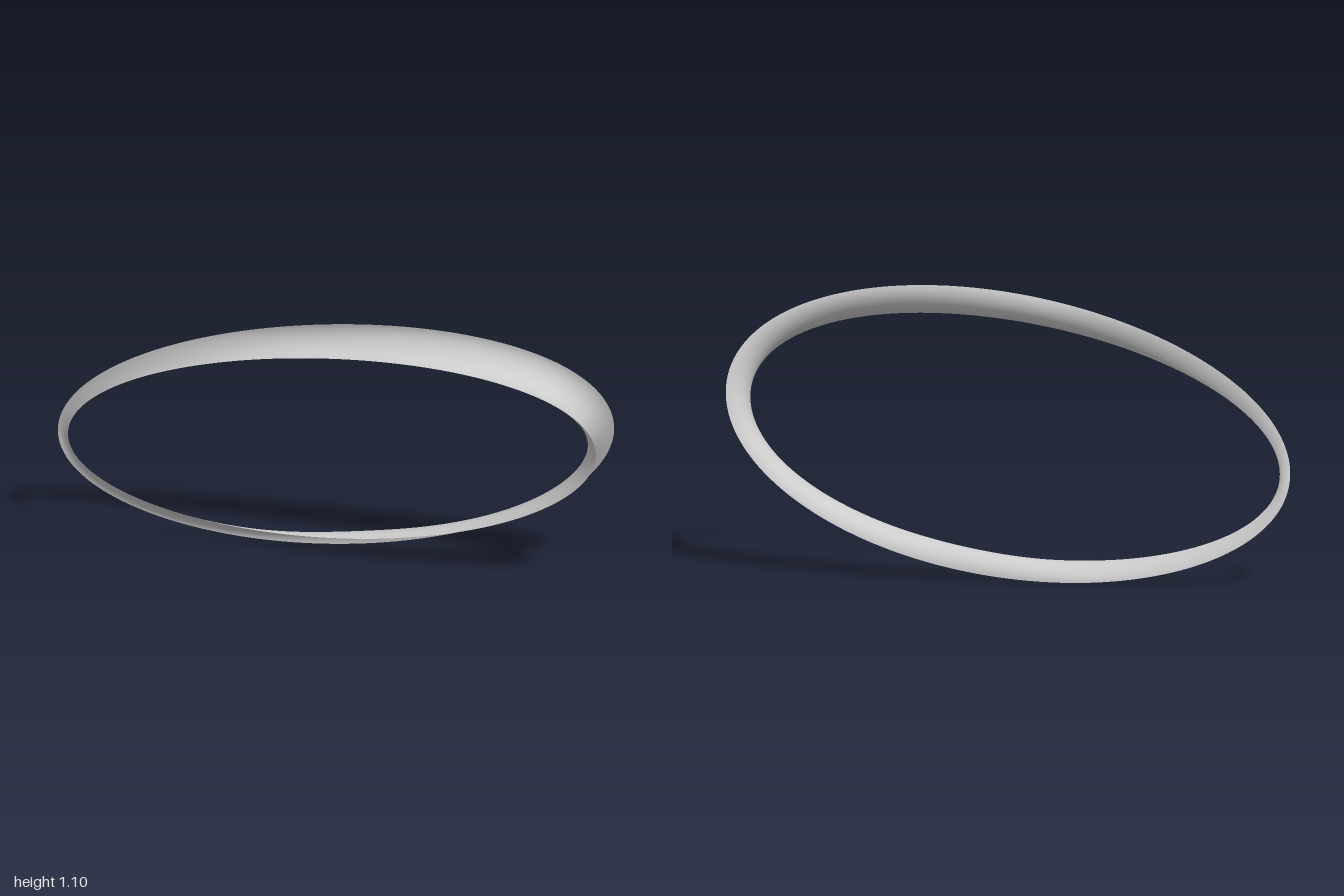
import * as THREE from 'three';

// Skewed ellipse, bowed along x: centre + a*cos(t) + b*sin(t) + bow*cos(2t)
const rim = (centre, a, b, bow) => (t) => {
  const p = new THREE.Vector3(...centre)
    .addScaledVector(new THREE.Vector3(...a), Math.cos(t))
    .addScaledVector(new THREE.Vector3(...b), Math.sin(t));
  p.x += bow * Math.cos(2 * t);
  return p;
};

export function createModel() {
  const group = new THREE.Group();
  group.name = 'groovedRing';

  // The two rims of the band
  const backRim = rim([-0.002, 0.55, 0], [0.32, 0.55, 0], [-0.925, 0, 0.542], 0.025);
  const frontRim = rim([0.043, 0.525, 0.075], [0.31, 0.452, 0], [-0.932, 0, 0.453], 0.023);
  const centre = new THREE.Vector3(0.03, 0.54, 0.04);

  // Band swept between the rims; its section is an arc sunk towards the middle
  const around = 256, across = 20;
  const positions = [], indices = [];
  for (let i = 0; i < around; i++) {
    const t = (i / around) * Math.PI * 2;
    const a = backRim(t), b = frontRim(t);
    const chord = b.clone().sub(a);
    const width = chord.length();
    const along = chord.clone().normalize();
    const mid = a.clone().add(b).multiplyScalar(0.5);
    const inward = centre.clone().sub(mid).normalize();
    inward.addScaledVector(along, -inward.dot(along)).normalize();
    // The groove is deepest at the wide end
    const depth = 0.26 - 0.11 * Math.sin(t);
    const half = 2 * Math.atan(2 * depth);
    const r = width / (2 * Math.sin(half));
    for (let j = 0; j <= across; j++) {
      const phi = half * ((2 * j) / across - 1);
      const p = mid.clone()
        .addScaledVector(along, r * Math.sin(phi))
        .addScaledVector(inward, r * (Math.cos(phi) - Math.cos(half)));
      positions.push(p.x, p.y, p.z);
    }
    const row = i * (across + 1), next = ((i + 1) % around) * (across + 1);
    for (let j = 0; j < across; j++) {
      indices.push(row + j, row + j + 1, next + j, next + j, row + j + 1, next + j + 1);
    }
  }
  const geometry = new THREE.BufferGeometry();
  geometry.setAttribute('position', new THREE.Float32BufferAttribute(positions, 3));
  geometry.setIndex(indices);
  geometry.computeVertexNormals();

  const band = new THREE.Mesh(
    geometry,
    new THREE.MeshStandardMaterial({ color: 0xcccccc, side: THREE.DoubleSide })
  );
  band.name = 'band';
  group.add(band);
  return group;
}
